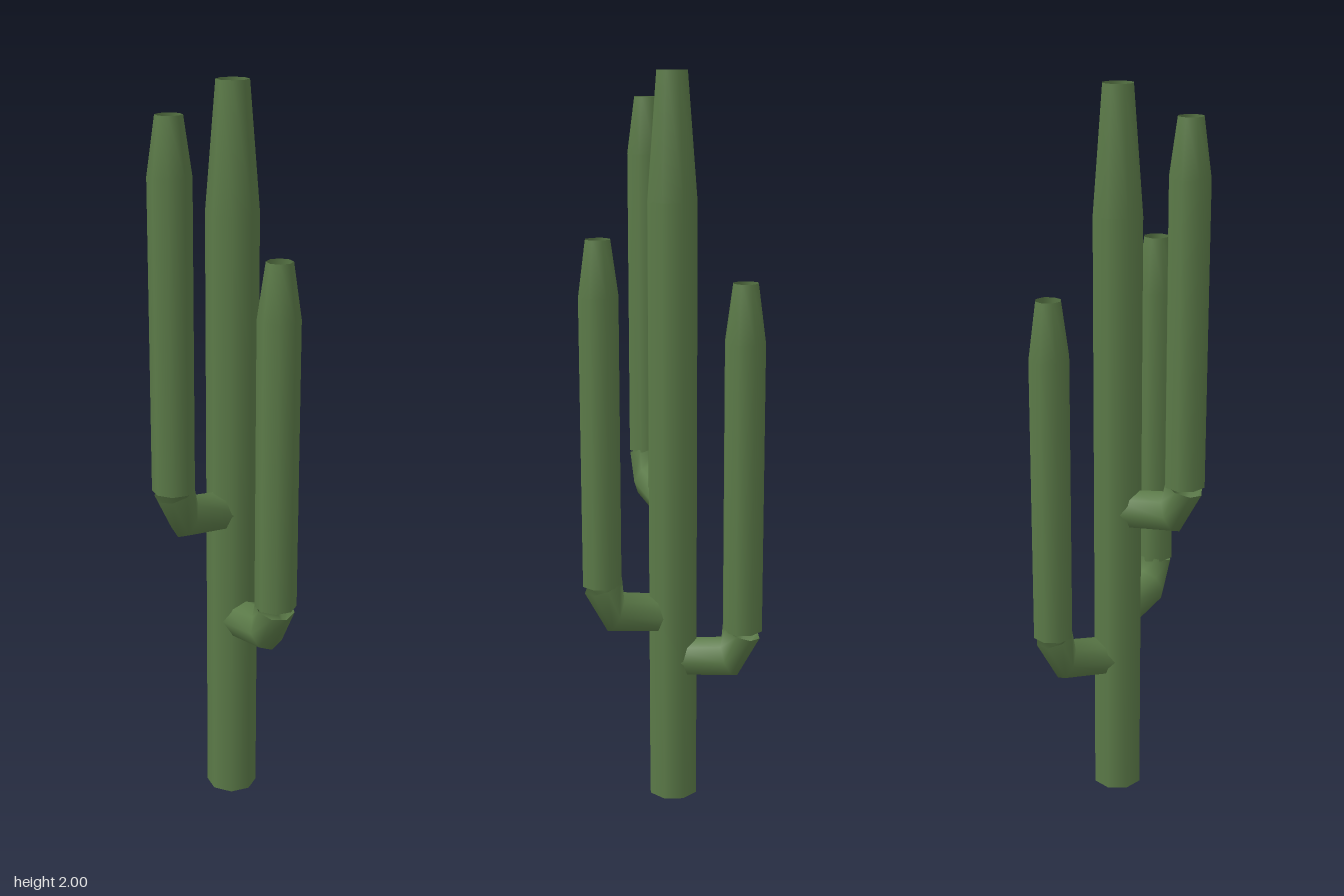
import * as THREE from 'three';
import { mergeVertices } from 'three/addons/utils/BufferGeometryUtils.js';

const SIDES = 8;
const TRUNK = { x: 0.015, z: 0.018 };

// Open eight-sided column that narrows above its shoulder
function column(name, material, radius, topRadius, base, shoulder, top) {
  const profile = [[radius, base], [radius, shoulder], [topRadius, top]];
  const geometry = new THREE.LatheGeometry(profile.map(([r, y]) => new THREE.Vector2(r, y)), SIDES);
  const mesh = new THREE.Mesh(geometry, material);
  mesh.name = name;
  return mesh;
}

// Bent tube running out along +z and turning upward, made of three rings
function elbow(name, material, radius, reach) {
  const rings = [
    { out: 0, up: -0.105, tilt: 0.12, r: radius },
    { out: reach * 0.82, up: -0.084, tilt: 0.4, r: radius * 1.07 },
    { out: reach * 0.985, up: -0.005, tilt: 1.24, r: radius },
  ];
  let geometry = new THREE.CylinderGeometry(1, 1, 2, SIDES, 2, true);
  const p = geometry.attributes.position;
  for (let i = 0; i < p.count; i++) {
    const { out, up, tilt, r } = rings[Math.round(p.getY(i)) + 1];
    const x = p.getX(i) * (p.getY(i) === 0 ? radius : r);
    const z = p.getZ(i) * r;
    p.setXYZ(i, x, up - z * Math.cos(tilt), out + z * Math.sin(tilt));
  }
  geometry.deleteAttribute('uv');
  geometry.deleteAttribute('normal');
  geometry = mergeVertices(geometry);
  geometry.computeVertexNormals();
  const mesh = new THREE.Mesh(geometry, material);
  mesh.name = name;
  return mesh;
}

export function createModel() {
  const model = new THREE.Group();
  model.name = 'cactus';
  const green = new THREE.MeshStandardMaterial({ color: 0x5b7a48, side: THREE.DoubleSide });

  // Trunk
  const trunk = column('trunk', green, 0.07, 0.043, 0, 1.67, 2);
  trunk.position.set(TRUNK.x, 0, TRUNK.z);
  model.add(trunk);

  // Arms: an elbow out of the trunk and an upright column
  const arms = [
    { name: 'rightArm', x: -0.138, z: 0.149, base: 0.96, shoulder: 1.78, top: 1.93 },
    { name: 'leftArm', x: 0.133, z: 0.179, base: 0.64, shoulder: 1.43, top: 1.578 },
    { name: 'backArm', x: 0.002, z: -0.181, base: 0.51, shoulder: 1.31, top: 1.465 },
  ];
  for (const { name, x, z, base, shoulder, top } of arms) {
    const arm = new THREE.Group();
    arm.name = name;
    const dx = x - TRUNK.x, dz = z - TRUNK.z;

    const upright = column(name + 'Upright', green, 0.0565, 0.035, base, shoulder, top);
    upright.position.set(x, 0, z);

    const bend = elbow(name + 'Elbow', green, 0.055, Math.hypot(dx, dz));
    bend.position.set(TRUNK.x, base, TRUNK.z);
    bend.rotation.y = Math.atan2(dx, dz);

    arm.add(upright, bend);
    model.add(arm);
  }
  return model;
}
